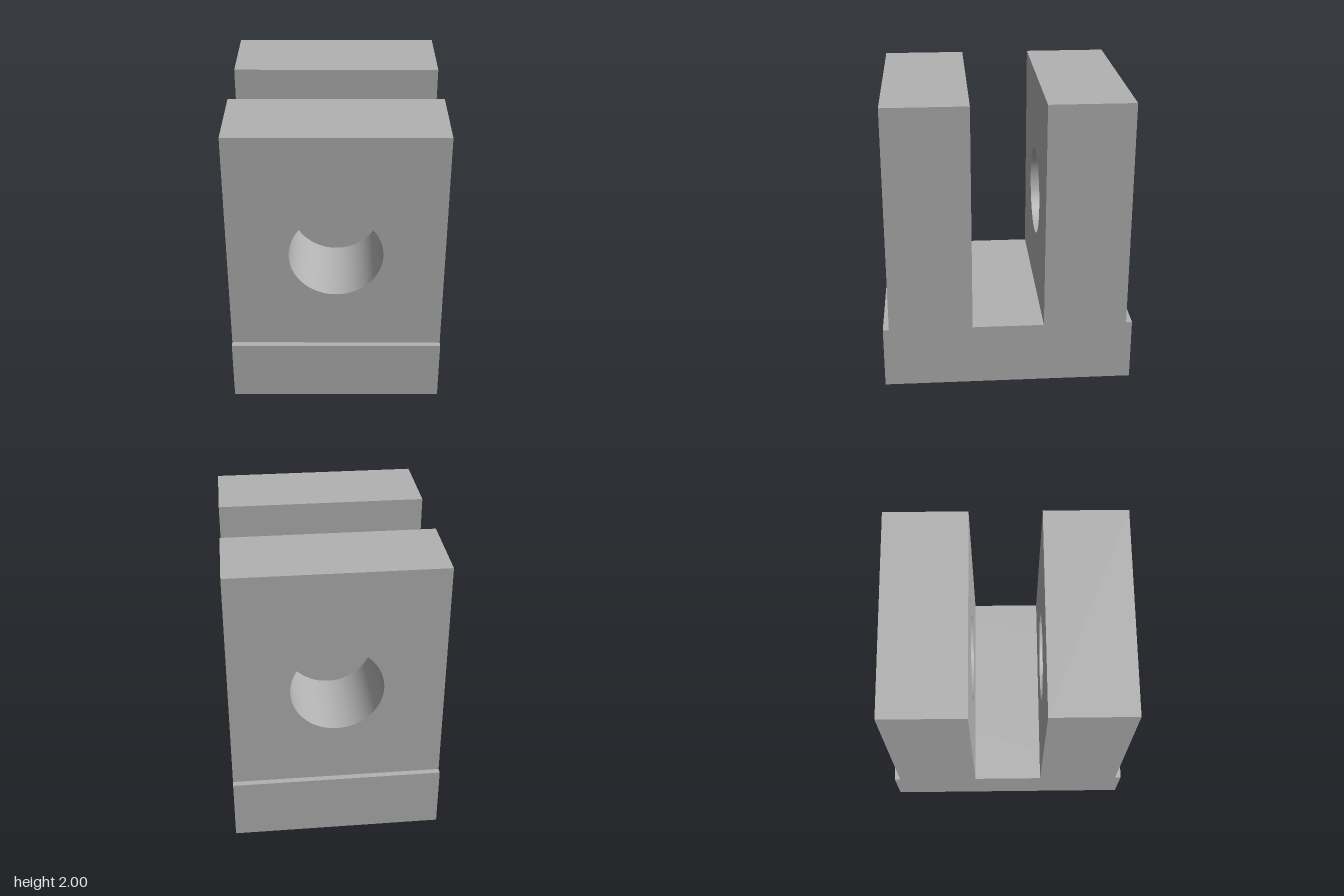
import * as THREE from 'three';
import { toCreasedNormals } from 'three/addons/utils/BufferGeometryUtils.js';

const HALF_X = 0.714, HALF_Z = 0.857, BASE_H = 0.43, HEIGHT = 2;
const ARM_INNER = 0.245, ARM_OUTER = 0.816;

// Extruded rectangle with round holes given as [x, y, radius]
function drilledPlate(x0, y0, x1, y1, depth, holes) {
  const shape = new THREE.Shape();
  shape.moveTo(x0, y0).lineTo(x1, y0).lineTo(x1, y1).lineTo(x0, y1).closePath();
  for (const [x, y, r] of holes) {
    const path = new THREE.Path();
    path.absarc(x, y, r, 0, Math.PI * 2, true);
    shape.holes.push(path);
  }
  const geometry = new THREE.ExtrudeGeometry(shape, { depth, bevelEnabled: false, curveSegments: 64 });
  return toCreasedNormals(geometry, 0.5);
}

export function createModel() {
  const group = new THREE.Group();
  group.name = 'clevisBracket';
  const grey = new THREE.MeshStandardMaterial({ color: 0xb2b2b2 });
  grey.name = 'grey metal';

  // Base block with four mounting holes, closed from above by the arms
  const mountingHoles = [];
  for (const x of [-0.428, 0.428]) for (const z of [-0.514, 0.514]) mountingHoles.push([x, z, 0.243]);
  const base = new THREE.Mesh(
    drilledPlate(-HALF_X, -HALF_Z, HALF_X, HALF_Z, BASE_H, mountingHoles).rotateX(-Math.PI / 2), grey);
  base.name = 'base';
  group.add(base);

  // Two upright arms with a shared pin bore
  for (const [name, z] of [['frontArm', ARM_INNER], ['backArm', -ARM_OUTER]]) {
    const arm = new THREE.Mesh(
      drilledPlate(-HALF_X, BASE_H, HALF_X, HEIGHT, ARM_OUTER - ARM_INNER, [[0, 1.145, 0.309]]), grey);
    arm.name = name;
    arm.position.z = z;
    group.add(arm);
  }
  return group;
}
